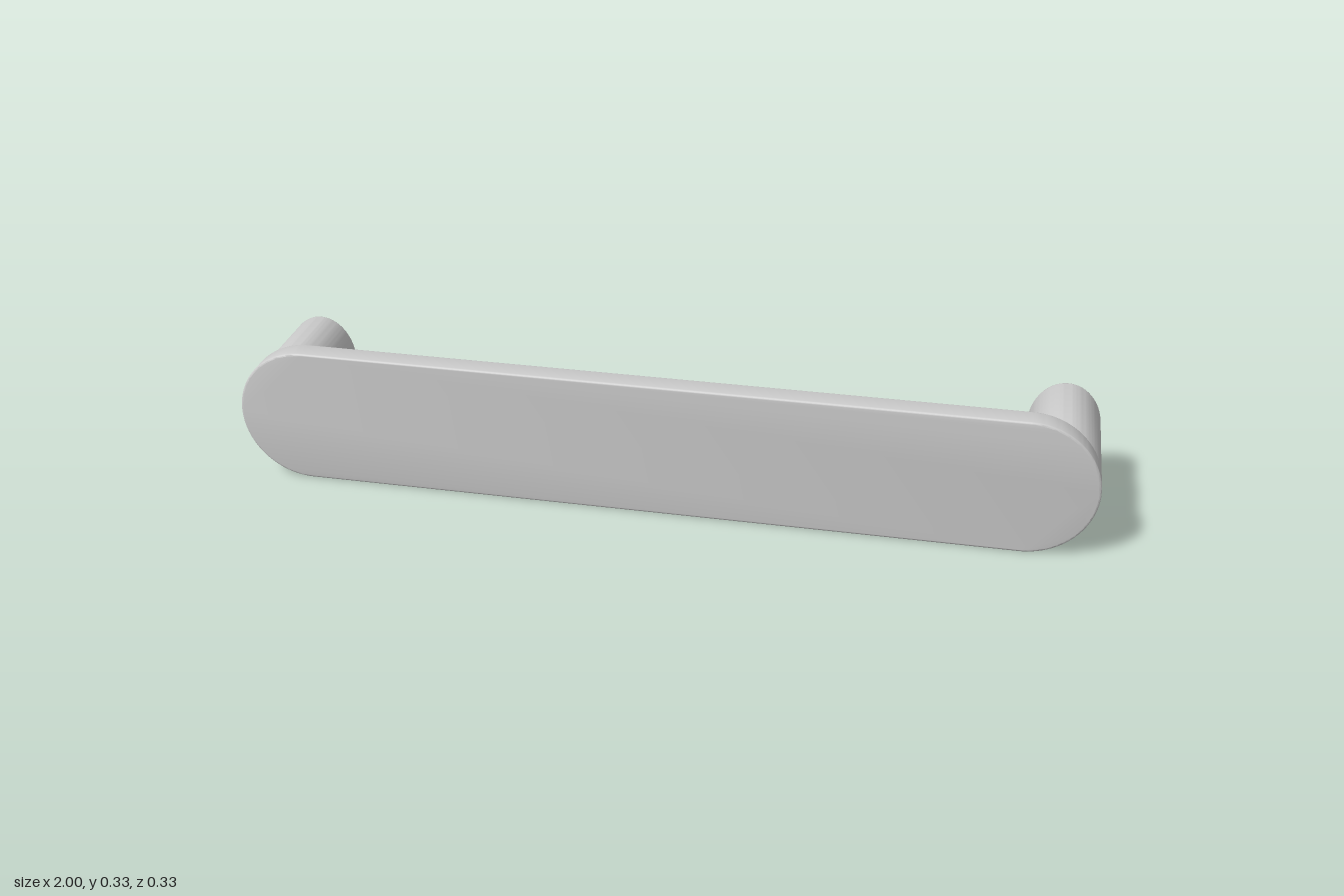
import * as THREE from 'three';
import { toCreasedNormals } from 'three/addons/utils/BufferGeometryUtils.js';

const material = new THREE.MeshStandardMaterial({ color: 0xcccccc });
const CENTRE_Y = 0.164;
const BEVEL = 0.005;

// Extrudes an outline from zBack to zFront with slightly rounded rims.
function softExtrude(shape, zBack, zFront, curveSegments) {
  const geometry = new THREE.ExtrudeGeometry(shape, {
    depth: zFront - zBack - 2 * BEVEL,
    bevelEnabled: true,
    bevelThickness: BEVEL,
    bevelSize: BEVEL,
    bevelOffset: -BEVEL,
    bevelSegments: 3,
    curveSegments,
  });
  geometry.translate(0, 0, zBack + BEVEL);
  return toCreasedNormals(geometry, 0.6);
}

function addPart(group, name, geometry, x) {
  const mesh = new THREE.Mesh(geometry, material);
  mesh.name = name;
  mesh.position.set(x, CENTRE_Y, 0);
  group.add(mesh);
}

export function createModel() {
  const group = new THREE.Group();
  group.name = 'pullHandle';

  // Flat grip with fully rounded ends
  const radius = 0.164;
  const straight = 1 - radius;
  const grip = new THREE.Shape();
  grip.moveTo(-straight, -radius);
  grip.lineTo(straight, -radius);
  grip.absarc(straight, 0, radius, -Math.PI / 2, Math.PI / 2, false);
  grip.lineTo(-straight, radius);
  grip.absarc(-straight, 0, radius, Math.PI / 2, Math.PI * 1.5, false);
  addPart(group, 'gripPlate', softExtrude(grip, 0.109, 0.164, 32), 0);

  // Oval mounting posts reaching back from each end
  const oval = new THREE.Shape();
  oval.absellipse(0, 0, 0.084, 0.106, 0, Math.PI * 2, false, 0);
  const postGeometry = softExtrude(oval, -0.164, 0.12, 64);
  addPart(group, 'leftPost', postGeometry, 0.916);
  addPart(group, 'rightPost', postGeometry, -0.916);

  return group;
}
